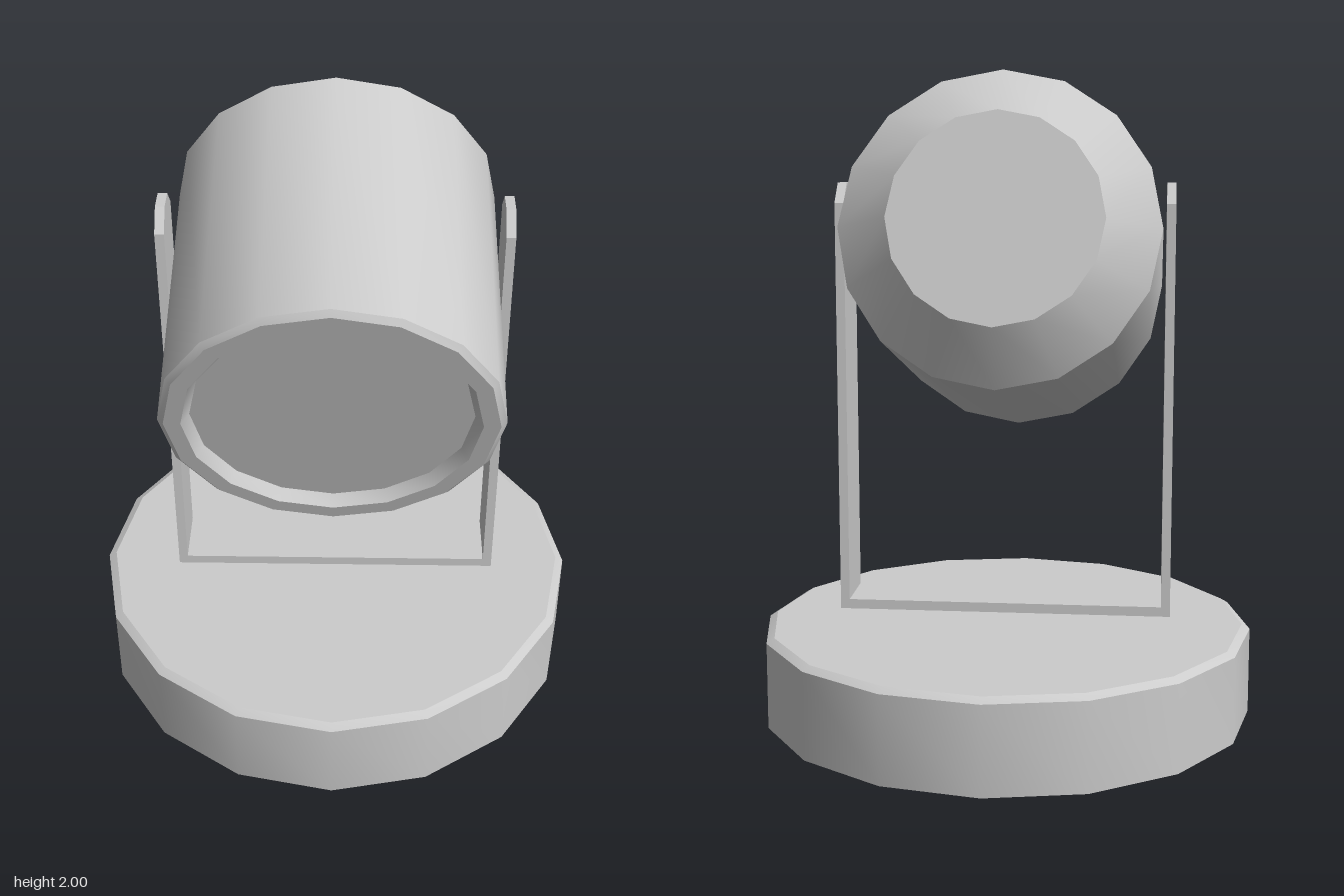
import * as THREE from 'three';
import { toCreasedNormals } from 'three/addons/utils/BufferGeometryUtils.js';

const material = new THREE.MeshStandardMaterial({ color: 0xcccccc });

function addMesh(parent, name, geometry) {
  const mesh = new THREE.Mesh(geometry, material);
  mesh.name = name;
  parent.add(mesh);
  return mesh;
}

// Sixteen-sided turned part, smooth around and sharp at its profile corners
function turned(profile) {
  const points = profile.map(([r, y]) => new THREE.Vector2(r, y));
  return toCreasedNormals(new THREE.LatheGeometry(points, 16), Math.PI / 6);
}

export function createModel() {
  const model = new THREE.Group();
  model.name = 'spotlight';

  // Round base with a bevelled top edge
  addMesh(model, 'base', turned([[0, 0], [0.77, 0], [0.77, 0.27], [0.745, 0.285], [0, 0.285]]));

  // U-shaped yoke: cross bar and two arms with clipped tops
  const yoke = new THREE.Group();
  yoke.name = 'yoke';
  model.add(yoke);
  const inner = 0.49, thick = 0.028, half = 0.095;
  addMesh(yoke, 'crossBar', new THREE.BoxGeometry(inner * 2, 0.03, half * 2)).position.y = 0.345;
  const armShape = new THREE.Shape([
    [-half, 0.33], [half, 0.33], [half, 1.605], [0.038, 1.665], [-0.038, 1.665], [-half, 1.605],
  ].map(([z, y]) => new THREE.Vector2(z, y)));
  for (const [name, x] of [['leftArm', inner], ['rightArm', -inner - thick]]) {
    const arm = new THREE.ExtrudeGeometry(armShape, { depth: thick, bevelEnabled: false });
    arm.rotateY(Math.PI / 2);
    addMesh(yoke, name, arm).position.x = x;
  }

  // Lamp head, turned along y from the rear cap then tipped forward and down
  const head = new THREE.Group();
  head.name = 'lampHead';
  head.position.set(0, 1.54, -0.245);
  head.rotation.x = Math.PI / 2 + THREE.MathUtils.degToRad(16.3);
  model.add(head);
  addMesh(head, 'housing', turned([
    [0, -0.13], [0.318, -0.13], [0.48, 0], [0.48, 0.845], [0.463, 0.86], [0.415, 0.86], [0.393, 0.825],
  ]));
  // Flat lens set back inside the rim
  addMesh(head, 'lens', turned([[0.393, 0.825], [0, 0.825]]));

  return model;
}
